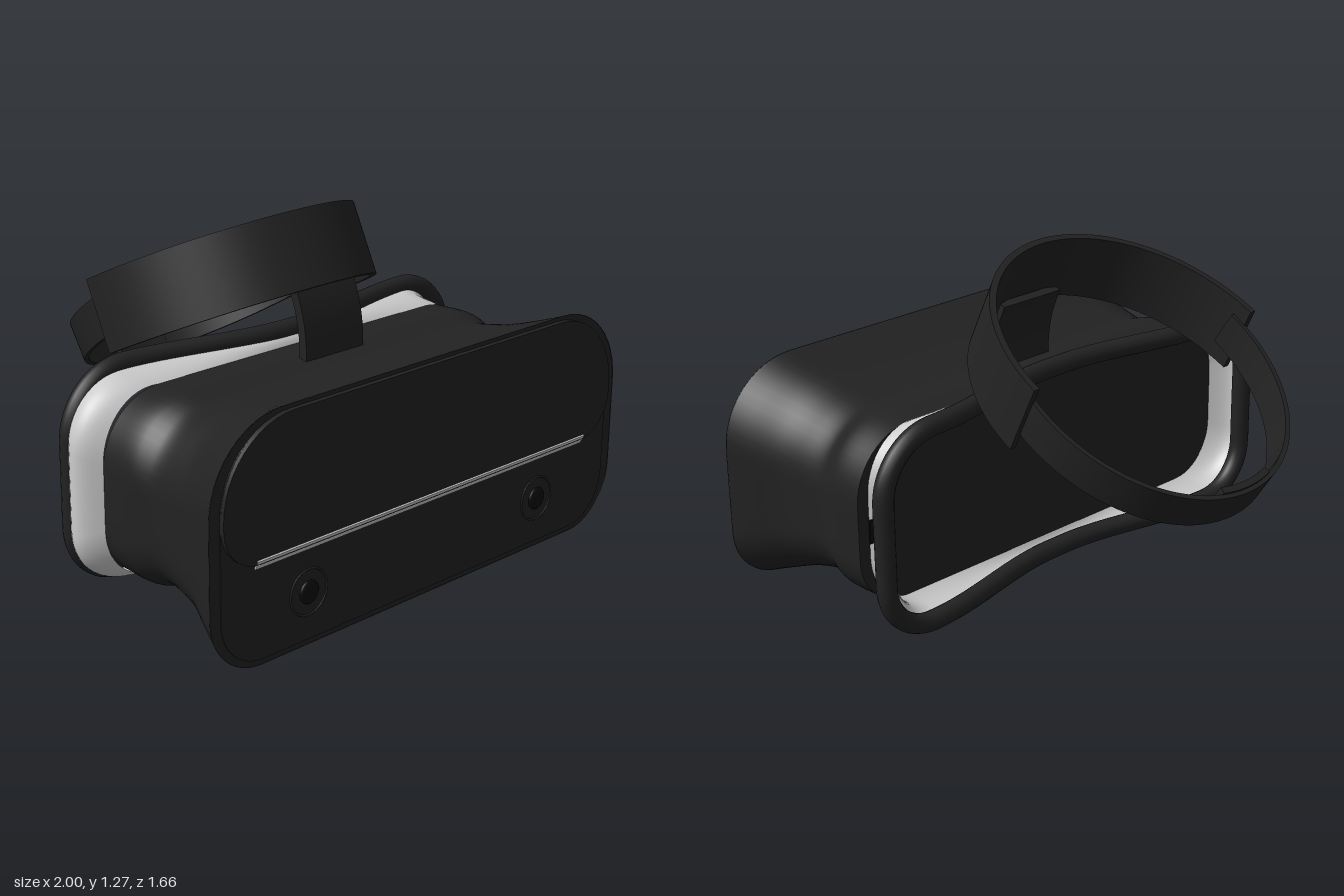
import * as THREE from 'three';
import { toCreasedNormals } from 'three/addons/utils/BufferGeometryUtils.js';

const mat = (color) => new THREE.MeshStandardMaterial({ color, side: THREE.DoubleSide });
const dark = mat(0x222222), black = mat(0x0a0a0a), grey = mat(0xcccccc);

// Rounded rectangle outline, counter-clockwise, with separate top and bottom radii
function outline(hw, y0, y1, rt, rb) {
  const corners = [
    [hw - rt, y1 - rt, rt, 0], [-hw + rt, y1 - rt, rt, 1],
    [-hw + rb, y0 + rb, rb, 2], [hw - rb, y0 + rb, rb, 3],
  ];
  const arcs = corners.map(([cx, cy, r, q]) => Array.from({ length: 13 }, (_, i) => {
    const a = (q + i / 12) * Math.PI / 2;
    return new THREE.Vector2(cx + r * Math.cos(a), cy + r * Math.sin(a));
  }));
  const pts = [];
  arcs.forEach((arc, k) => {
    pts.push(...arc);
    const end = arc[12], next = arcs[(k + 1) % 4][0], n = k % 2 ? 4 : 24;
    for (let i = 1; i < n; i++) pts.push(end.clone().lerp(next, i / n));
  });
  return pts;
}

// Skin over closed rings of Vector3, ordered from back to front
function loft(rings) {
  const n = rings[0].length, index = [];
  for (let i = 0; i < rings.length - 1; i++) {
    for (let j = 0; j < n; j++) {
      const k = (j + 1) % n, a = i * n + j, b = i * n + k;
      index.push(a, b, b + n, a, b + n, a + n);
    }
  }
  const g = new THREE.BufferGeometry().setFromPoints(rings.flat());
  g.setIndex(index);
  g.computeVertexNormals();
  return g;
}

// Flat band following part of an ellipse, centred on its width
function band(a, b, thick, width, start, end) {
  const s = new THREE.Shape();
  s.absellipse(0, 0, a, b, start, end, false);
  s.absellipse(0, 0, a - thick, b - thick, end, start, true);
  const g = new THREE.ExtrudeGeometry(s, { depth: width, bevelEnabled: false, curveSegments: 64 });
  return toCreasedNormals(g.translate(0, 0, -width / 2), 0.6);
}

// Depth of the curved face side across the width
const padZ = (x) => 0.107 * (1 - THREE.MathUtils.smoothstep(Math.abs(x), 0.04, 0.72));

export function createModel() {
  const model = new THREE.Group();
  const add = (name, geometry, material, x = 0, y = 0, z = 0, parent = model) => {
    const m = new THREE.Mesh(geometry, material);
    m.name = name;
    m.position.set(x, y, z);
    parent.add(m);
    return m;
  };

  // Waisted housing: (z, half width, inset from top and bottom)
  const profile = new THREE.CatmullRomCurve3([
    [0.16, 0.905, 0.097], [0.3, 0.905, 0.092], [0.39, 0.89, 0.108], [0.5, 0.9, 0.092],
    [0.6, 0.92, 0.068], [0.72, 0.97, 0.03], [0.8, 1, 0],
  ].map((p) => new THREE.Vector3(...p)));
  const section = (p, t) => outline(p.y, p.z, 0.86 - p.z, 0.25 + 0.06 * t, 0.2 + 0.02 * t);
  add('housing', loft(profile.getPoints(36).map((p, i) =>
    section(p, i / 36).map((v) => new THREE.Vector3(v.x, v.y, p.x)))), dark);
  add('housingFront', new THREE.ShapeGeometry(new THREE.Shape(section(profile.getPoint(1), 1))), dark, 0, 0, 0.798);
  add('eyePanel', new THREE.ShapeGeometry(new THREE.Shape(section(profile.getPoint(0), 0))), dark, 0, 0, 0.16)
    .rotation.y = Math.PI;

  // Front plates
  const plate = (pts, depth) => toCreasedNormals(
    new THREE.ExtrudeGeometry(new THREE.Shape(pts), { depth, bevelEnabled: false }), 0.6);
  add('lowerPanel', plate(outline(0.955, 0.02, 0.84, 0.29, 0.18), 0.012), dark, 0, 0, 0.79);
  add('visor', plate(outline(0.955, 0.362, 0.845, 0.3, 0.16), 0.027), dark, 0, 0, 0.79);
  add('lightStrip', new THREE.BoxGeometry(1.63, 0.036, 0.006), grey, 0, 0.362, 0.812).rotation.x = 0.45;

  // Front cameras
  for (const side of [-1, 1]) {
    const camera = new THREE.Group();
    camera.name = 'camera';
    camera.position.set(side * 0.575, 0.19, 0.802);
    model.add(camera);
    add('cameraRing', new THREE.TorusGeometry(0.082, 0.004, 8, 40), dark, 0, 0, 0, camera);
    add('cameraLens', new THREE.SphereGeometry(0.042, 24, 16).scale(1, 1, 0.35), black, 0, 0, 0.001, camera);
  }

  // Light gasket between housing and face pad, bulging on one side and pinched on the other
  const gasket = [];
  for (let i = 0; i <= 12; i++) {
    const t = i / 12, bow = Math.sin(Math.PI * t);
    const left = 0.935 - 0.03 * t + 0.045 * bow;
    const right = 0.875 - 0.015 * t - 0.04 * bow;
    const edge = 0.03 * t * t * t;
    gasket.push(outline(1, 0.067 + edge, 0.793 - edge, 0.23, 0.2).map((v) => {
      const x = v.x * (v.x < 0 ? left : right);
      return new THREE.Vector3(x, v.y, THREE.MathUtils.lerp(padZ(x) + 0.01, 0.162, t));
    }));
  }
  add('gasket', loft(gasket), grey);
  add('gasketSlot', new THREE.BoxGeometry(0.02, 0.09, 0.006), black, 0.855, 0.405, 0.15);

  // Face pad
  const padPath = new THREE.CatmullRomCurve3(
    outline(0.918, 0.062, 0.803, 0.23, 0.2).map((v) => new THREE.Vector3(v.x, v.y, padZ(v.x))), true);
  add('facePad', new THREE.TubeGeometry(padPath, 240, 0.037, 14, true), dark);

  // Head strap: wide front half, narrow rear half and buckle
  const front = add('frontStrap', band(0.555, 0.62, 0.025, 0.277, 0, Math.PI), dark, 0, 0.87, -0.3);
  front.rotation.x = Math.PI / 2 - 0.456;
  const rear = new THREE.Group();
  rear.name = 'rearStrap';
  rear.position.set(0, 0.87, -0.3);
  rear.rotation.x = Math.PI / 2 - 0.585;
  model.add(rear);
  add('rearBand', band(0.535, 0.59, 0.018, 0.147, Math.PI - 0.12, 2 * Math.PI + 0.12), dark, 0, 0, 0, rear);
  add('buckle', band(0.518, 0.574, 0.025, 0.165, 1.5 * Math.PI - 0.25, 1.5 * Math.PI + 0.22), dark, 0, 0, 0, rear);

  // Curved bracket from housing to strap, drawn in (z, y)
  const s = new THREE.Shape();
  s.moveTo(0.335, 0.74);
  s.lineTo(0.335, 0.8);
  s.quadraticCurveTo(0.33, 0.92, 0.27, 1.04);
  s.lineTo(0.235, 1.03);
  s.quadraticCurveTo(0.295, 0.92, 0.3, 0.8);
  s.lineTo(0.3, 0.74);
  const bracket = new THREE.ExtrudeGeometry(s, { depth: 0.28, bevelEnabled: false, curveSegments: 16 });
  add('strapBracket', toCreasedNormals(bracket.translate(0, 0, -0.14), 0.6), dark).rotation.y = -Math.PI / 2;

  return model;
}
